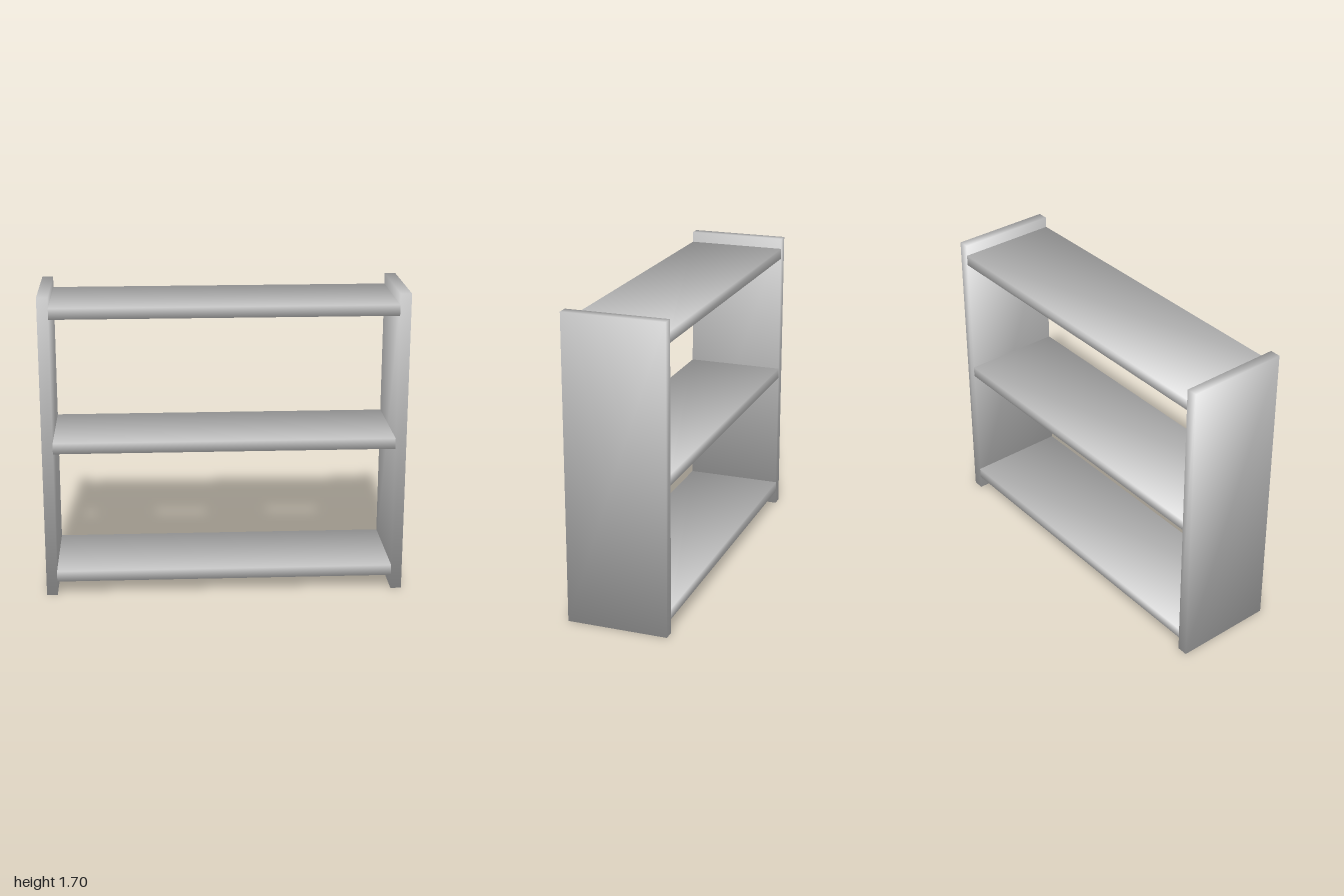
import * as THREE from 'three';

const WIDTH = 2, HEIGHT = 1.7, DEPTH = 0.56, BOARD = 0.06;

// Board whose normals point out through its corners, giving soft shading across the edges
function board(name, w, h, d, x, y, material) {
  const geometry = new THREE.BoxGeometry(w, h, d);
  const { position, normal } = geometry.attributes;
  for (let i = 0; i < position.count; i++) {
    const n = new THREE.Vector3(
      Math.sign(position.getX(i)), Math.sign(position.getY(i)), Math.sign(position.getZ(i))
    ).normalize();
    normal.setXYZ(i, n.x, n.y, n.z);
  }
  const mesh = new THREE.Mesh(geometry, material);
  mesh.name = name;
  mesh.position.set(x, y, 0);
  return mesh;
}

export function createModel() {
  const group = new THREE.Group();
  group.name = 'openShelf';
  const material = new THREE.MeshStandardMaterial({ color: 0xcccccc });

  // Upright side panels
  for (const [name, side] of [['leftPanel', 1], ['rightPanel', -1]]) {
    group.add(board(name, BOARD, HEIGHT, DEPTH, side * (WIDTH - BOARD) / 2, HEIGHT / 2, material));
  }

  // Shelves between the panels
  const shelves = [['bottomShelf', 0.11], ['middleShelf', 0.86], ['topShelf', 1.61]];
  for (const [name, y] of shelves) {
    group.add(board(name, WIDTH - 2 * BOARD, BOARD, DEPTH, 0, y, material));
  }

  return group;
}
